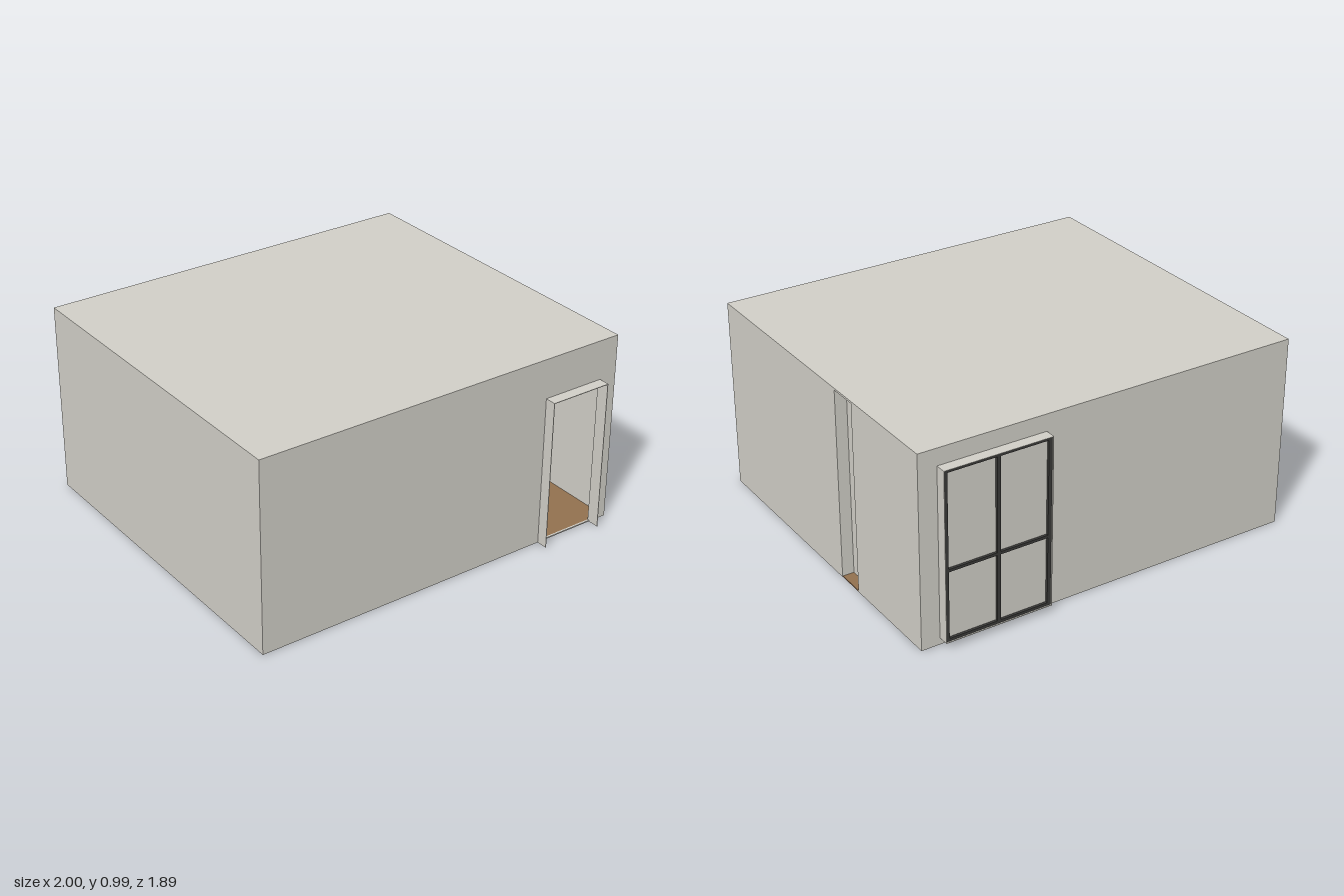
import * as THREE from 'three';

const mat = (name, color, extra = {}) => {
  const m = new THREE.MeshStandardMaterial({ color, ...extra });
  m.name = name;
  return m;
};

export function createModel() {
  const plaster = mat('plaster', 0xd2d0c8);
  const wood = mat('wood', 0x93714f);
  const cabinetWood = mat('cabinetWood', 0xa0765a);
  const darkMetal = mat('darkMetal', 0x3a3a38);
  const fabric = mat('curtainFabric', 0x8b8b88, { side: THREE.DoubleSide });
  const pale = mat('paleCeramic', 0xd4d3cc);
  const leaf = mat('driedLeaf', 0x4a3426);

  const room = new THREE.Group();
  room.name = 'room';

  const add = (name, geo, m, parent = room) => {
    const mesh = new THREE.Mesh(geo, m);
    mesh.name = name;
    parent.add(mesh);
    return mesh;
  };
  // Box given by its minimum and maximum corners
  const box = (name, m, [x0, y0, z0], [x1, y1, z1], parent) => {
    const geo = new THREE.BoxGeometry(x1 - x0, y1 - y0, z1 - z0);
    geo.translate((x0 + x1) / 2, (y0 + y1) / 2, (z0 + z1) / 2);
    return add(name, geo, m, parent);
  };

  const T = 0.01, H = 0.985, F = 0.885, B = -0.89;

  // Floor and ceiling
  box('floor', wood, [-0.998, 0, B + 0.002], [0.998, 0.006, F - 0.002]);
  box('ceiling', plaster, [-1, H - T, B], [1, H, F]);

  // Front and back walls with their openings
  const holedWall = (name, z, x0, x1, y0, y1) => {
    const s = new THREE.Shape();
    s.moveTo(-1, 0.001).lineTo(1, 0.001).lineTo(1, H - T).lineTo(-1, H - T).closePath();
    const h = new THREE.Path();
    h.moveTo(x0, y0).lineTo(x0, y1).lineTo(x1, y1).lineTo(x1, y0).closePath();
    s.holes.push(h);
    const geo = new THREE.ExtrudeGeometry(s, { depth: T, bevelEnabled: false });
    geo.translate(0, 0, z);
    add(name, geo, plaster);
  };
  holedWall('frontWall', F - T, 0.575, 0.905, 0.007, 0.78);
  holedWall('backWall', B, 0.35, 0.905, 0.035, 0.9);

  // Side walls; one has a shallow full-height niche
  const wall = (name, x0, x1, z0, z1) =>
    box(name, plaster, [x0, 0.001, z0], [x1, H - T, z1]);
  wall('rightWall', -1, -1 + T, B + T, F - T);
  wall('leftWallFront', 1 - T, 1, -0.18, F - T);
  wall('leftWallBack', 1 - T, 1, B + T, -0.33);
  wall('nicheBack', 0.93, 0.94, -0.34, -0.17);
  wall('nicheSideFront', 0.94, 1 - T, -0.18, -0.17);
  wall('nicheSideBack', 0.94, 1 - T, -0.34, -0.33);

  // Thin linings standing out from the door and window openings
  const t = 0.003;
  const lining = (name, x0, x1, y0, y1, z0, z1, sill) => {
    box(name + 'JambRight', plaster, [x0, y0, z0], [x0 + t, y1, z1]);
    box(name + 'JambLeft', plaster, [x1 - t, y0, z0], [x1, y1, z1]);
    box(name + 'Head', plaster, [x0, y1 - t, z0], [x1, y1, z1]);
    if (sill) box(name + 'Sill', plaster, [x0, y0, z0], [x1, y0 + t, z1]);
  };
  lining('door', 0.575, 0.905, 0, 0.78, F - T, 0.942, false);
  lining('window', 0.35, 0.905, 0.035, 0.9, -0.945, B + T, true);

  // Window frame, bars and outward-facing pane
  const bar = (x0, x1, y0, y1) =>
    box('windowBar', darkMetal, [x0, y0, -0.938], [x1, y1, -0.915]);
  bar(0.353, 0.371, 0.038, 0.897);
  bar(0.884, 0.902, 0.038, 0.897);
  bar(0.618, 0.636, 0.038, 0.897);
  bar(0.353, 0.902, 0.038, 0.052);
  bar(0.353, 0.902, 0.883, 0.897);
  bar(0.353, 0.902, 0.393, 0.407);
  const pane = add('windowPane', new THREE.PlaneGeometry(0.55, 0.86), plaster);
  pane.rotation.y = Math.PI;
  pane.position.set(0.6275, 0.467, -0.925);

  // Pleated curtains
  for (const x of [0.36, 0.875]) {
    const geo = new THREE.PlaneGeometry(0.15, 0.92, 48, 1);
    const p = geo.attributes.position;
    for (let i = 0; i < p.count; i++) {
      p.setZ(i, 0.014 * Math.sin((p.getX(i) / 0.15) * Math.PI * 16));
    }
    geo.computeVertexNormals();
    add('curtain', geo, fabric).position.set(x, 0.475, -0.84);
  }

  // Low cabinet with a potted plant
  box('cabinet', cabinetWood, [0.845, 0.02, -0.02], [0.988, 0.165, 0.46]);
  box('cabinetTop', wood, [0.84, 0.165, -0.025], [0.988, 0.18, 0.465]);
  box('cabinetPlinth', darkMetal, [0.85, 0.006, -0.015], [0.985, 0.02, 0.455]);
  const pot = add('plantPot', new THREE.CylinderGeometry(0.024, 0.018, 0.05, 20), pale);
  pot.position.set(0.885, 0.205, 0.2);
  for (let i = 0; i < 9; i++) {
    const a = i * 2.4, r = 0.004 + 0.0015 * i;
    const l = add('plantLeaf', new THREE.SphereGeometry(0.009, 8, 6), leaf);
    l.scale.y = 1.8;
    l.rotation.z = -Math.cos(a) * 0.5;
    l.position.set(0.885 + r * Math.cos(a), 0.255 - 0.0015 * i, 0.2 + r * Math.sin(a));
  }

  // Round rug and pedestal table with arched legs
  const set = new THREE.Group();
  set.name = 'tableAndRug';
  set.position.set(-0.1, 0, -0.29);
  room.add(set);
  add('rug', new THREE.CylinderGeometry(0.36, 0.36, 0.008, 64), pale, set).position.y = 0.009;
  add('tableStem', new THREE.CylinderGeometry(0.014, 0.014, 0.18, 16), darkMetal, set).position.y = 0.17;
  add('tableTop', new THREE.CylinderGeometry(0.28, 0.28, 0.016, 48), wood, set).position.y = 0.265;
  const arch = new THREE.CatmullRomCurve3([
    new THREE.Vector3(0, 0.09, 0), new THREE.Vector3(0.09, 0.08, 0),
    new THREE.Vector3(0.15, 0.05, 0), new THREE.Vector3(0.18, 0.014, 0),
  ]);
  for (let i = 0; i < 4; i++) {
    const leg = add('tableLeg', new THREE.TubeGeometry(arch, 16, 0.009, 8), darkMetal, set);
    leg.rotation.y = -0.96 + (i * Math.PI) / 2;
  }

  return room;
}
